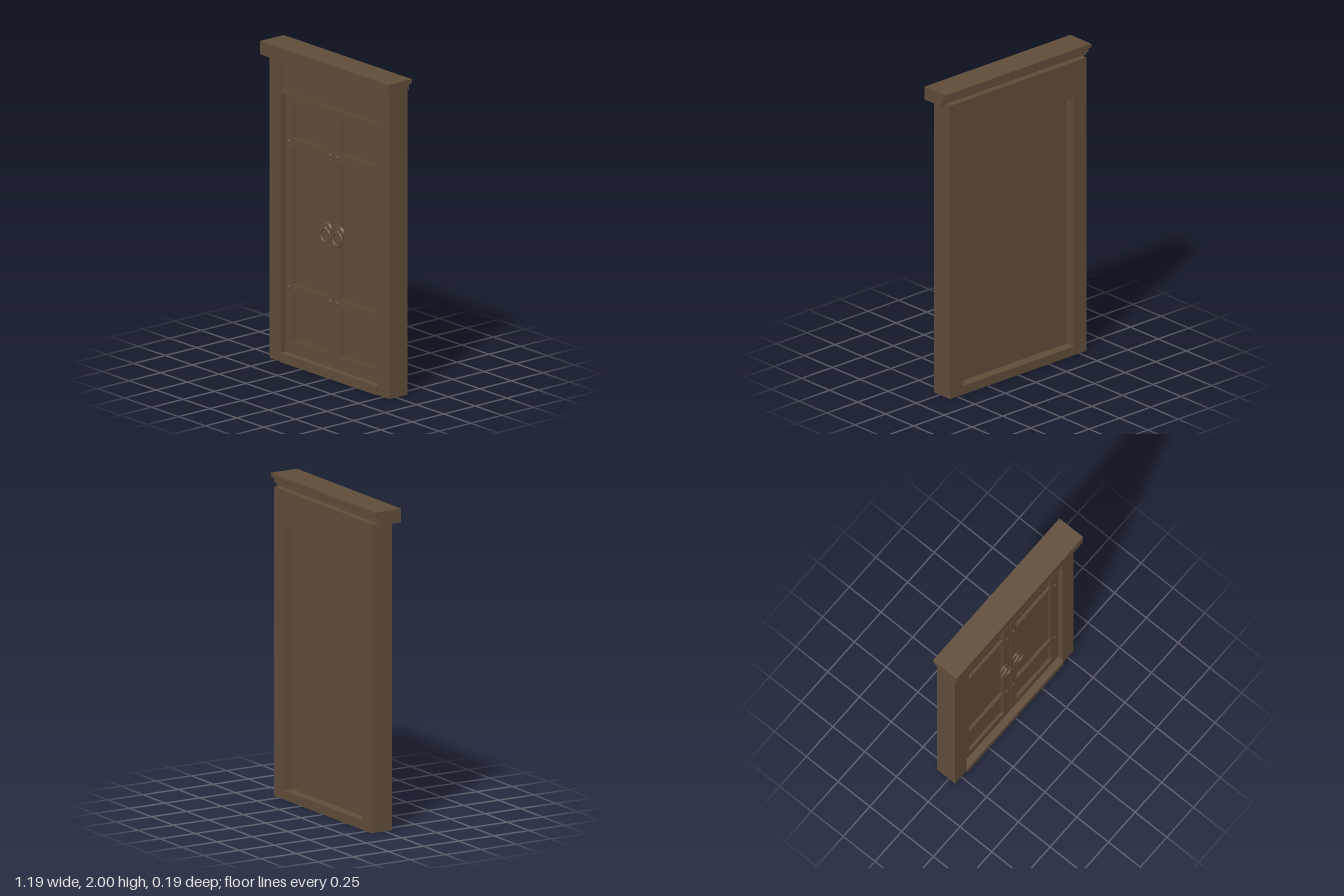
import * as THREE from 'three';

const wood = new THREE.MeshStandardMaterial({ color: 0x5f4c3a });
wood.name = 'brown wood';

function add(parent, name, geometry, x = 0, y = 0, z = 0) {
  const mesh = new THREE.Mesh(geometry, wood);
  mesh.name = name;
  mesh.position.set(x, y, z);
  parent.add(mesh);
  return mesh;
}

// Box given by its two opposite corners
function block(parent, name, x0, x1, y0, y1, z0, z1) {
  return add(parent, name, new THREE.BoxGeometry(x1 - x0, y1 - y0, z1 - z0),
    (x0 + x1) / 2, (y0 + y1) / 2, (z0 + z1) / 2);
}

function rect(Type, x0, x1, y0, y1) {
  return new Type([[x0, y0], [x1, y0], [x1, y1], [x0, y1]].map(p => new THREE.Vector2(...p)));
}

function extrude(shape, depth) {
  return new THREE.ExtrudeGeometry(shape, { depth, bevelEnabled: false, curveSegments: 6 });
}

// Panel openings of a door leaf, as bottom and top heights
const PANELS = [[0.145, 0.445], [0.495, 1.365], [1.42, 1.635]];
const PX0 = 0.062, PX1 = 0.386;

function makeDoor(side) {
  const door = new THREE.Group();
  door.name = side > 0 ? 'leftDoor' : 'rightDoor';
  const ends = (a, b) => (side > 0 ? [a, b] : [-b, -a]);

  // Backing board and the raised stiles and rails in front of it
  block(door, 'doorBoard', ...ends(0.003, 0.448), 0.055, 1.695, -0.03, 0.0);
  const frame = rect(THREE.Shape, ...ends(0.003, 0.448), 0.055, 1.695);
  for (const [y0, y1] of PANELS) {
    frame.holes.push(rect(THREE.Path, ...ends(PX0, PX1), y0, y1));
    // Stepped bead inside each opening
    const bead = rect(THREE.Shape, ...ends(PX0, PX1), y0, y1);
    const [bx0, bx1] = ends(PX0 + 0.01, PX1 - 0.01);
    bead.holes.push(rect(THREE.Path, bx0, bx1, y0 + 0.01, y1 - 0.01));
    add(door, 'panelBead', extrude(bead, 0.008));
  }
  add(door, 'stilesAndRails', extrude(frame, 0.016));

  // Round studs on the rails
  for (const x of [0.032, 0.418]) for (const y of [0.472, 1.392]) {
    const stud = add(door, 'stud', new THREE.SphereGeometry(0.012, 14, 8), side * x, y, 0.016);
    stud.scale.z = 0.6;
  }

  // Ring pull hanging from a round plate
  const plate = add(door, 'handlePlate', new THREE.CylinderGeometry(0.034, 0.04, 0.01, 28),
    side * 0.056, 0.925, 0.02);
  plate.rotation.x = Math.PI / 2;
  add(door, 'handleKnob', new THREE.SphereGeometry(0.013, 14, 10), side * 0.056, 0.93, 0.03);
  add(door, 'handleRing', new THREE.TorusGeometry(0.043, 0.007, 10, 32), side * 0.056, 0.886, 0.036);
  return door;
}

export function createModel() {
  const model = new THREE.Group();
  model.name = 'doubleDoor';

  // Surround: jambs, header and sill
  for (const s of [-1, 1]) {
    const [x0, x1] = s > 0 ? [0.45, 0.557] : [-0.557, -0.45];
    block(model, 'jamb', x0, x1, 0, 1.92, -0.093, 0.05);
  }
  block(model, 'header', -0.45, 0.45, 1.69, 1.92, -0.093, 0.038);
  block(model, 'headerLedge', -0.45, 0.45, 1.695, 1.712, 0.03, 0.047);
  block(model, 'sill', -0.45, 0.45, 0, 0.057, -0.093, 0.06);

  // Cornice: side profile drawn as (z, y), extruded across the width
  const profile = new THREE.Shape();
  profile.moveTo(-0.093, 1.915);
  profile.lineTo(0.052, 1.915);
  profile.lineTo(0.052, 1.94);
  profile.lineTo(0.07, 1.94);
  profile.lineTo(0.07, 1.962);
  profile.quadraticCurveTo(0.073, 1.974, 0.094, 1.976);
  profile.lineTo(0.094, 2);
  profile.lineTo(-0.093, 2);
  const cornice = add(model, 'cornice', extrude(profile, 1.19).rotateY(-Math.PI / 2));
  // Turn the profile's first axis to face forward
  cornice.geometry.rotateY(Math.PI);
  cornice.geometry.translate(-0.595, 0, 0);
  const box = new THREE.Box3().setFromBufferAttribute(cornice.geometry.attributes.position);
  cornice.position.x = -(box.min.x + box.max.x) / 2;

  // Dentil band with arched notches along its lower edge
  const band = new THREE.Shape();
  const teeth = 27, pitch = 1.19 / teeth, r = 0.011;
  band.moveTo(-0.595, 1.94);
  band.lineTo(-0.595, 1.915);
  for (let i = 0; i < teeth; i++) {
    const x = -0.595 + (i + 0.5) * pitch;
    band.lineTo(x - r, 1.915);
    band.lineTo(x - r, 1.923);
    band.absarc(x, 1.923, r, Math.PI, 0, true);
    band.lineTo(x + r, 1.915);
  }
  band.lineTo(0.595, 1.915);
  band.lineTo(0.595, 1.94);
  add(model, 'dentils', extrude(band, 0.012), 0, 0, 0.051);

  model.add(makeDoor(1), makeDoor(-1));
  return model;
}
